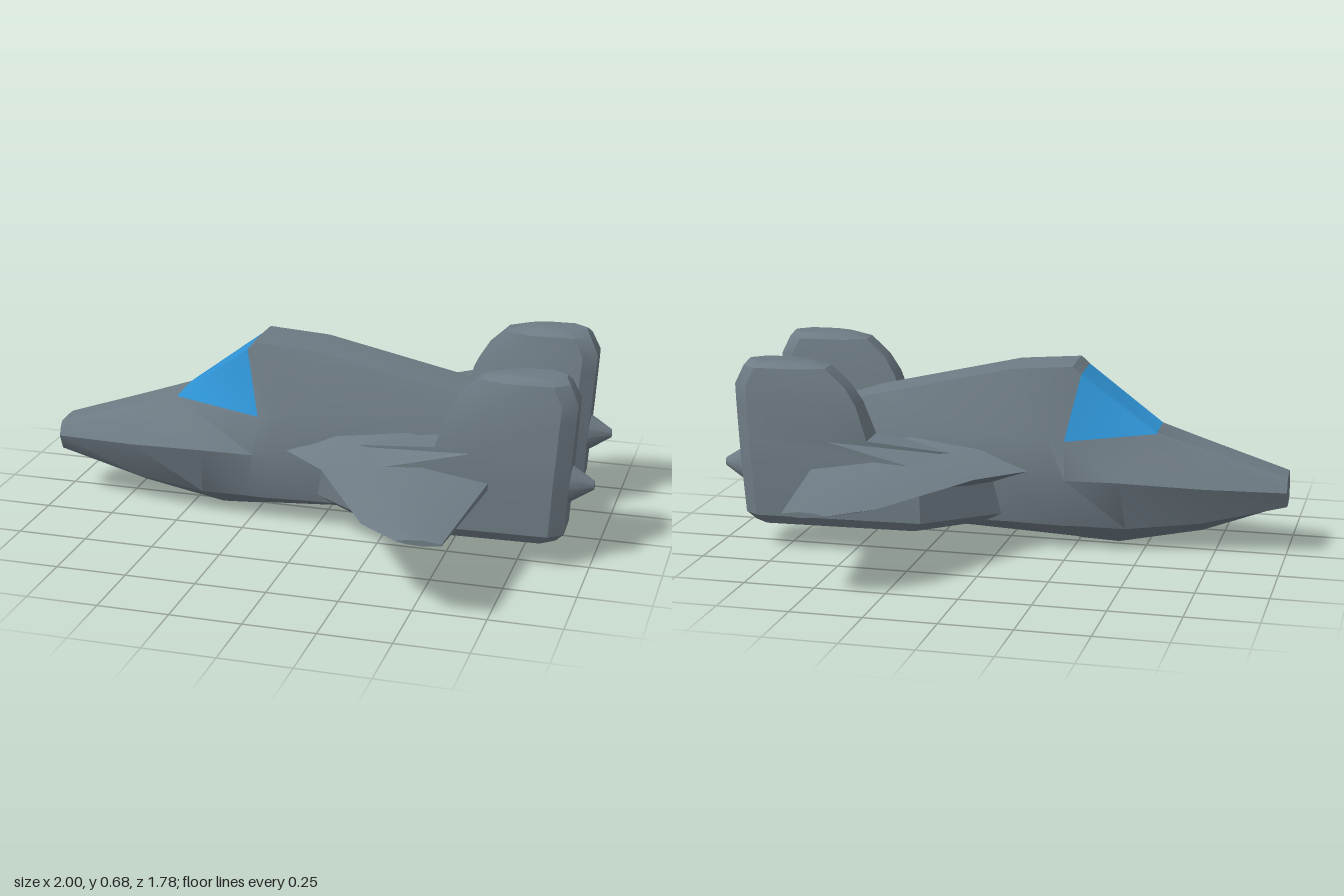
import * as THREE from 'three';
import { toCreasedNormals } from 'three/addons/utils/BufferGeometryUtils.js';

const hullGrey = new THREE.MeshStandardMaterial({ color: 0x6e7b84 });
hullGrey.name = 'hull grey';
const glassBlue = new THREE.MeshStandardMaterial({ color: 0x2f94d6 });
glassBlue.name = 'canopy blue';

// Skin a row of closed loops of [x, y, z] points and cap both ends.
// Cells chosen by isGlass(row, column) go into a second material group.
function loft(loops, crease, isGlass = () => false) {
  const hull = [], glass = [];
  const n = loops[0].length;
  for (let i = 0; i < loops.length - 1; i++) {
    for (let j = 0; j < n; j++) {
      const k = (j + 1) % n;
      const a = loops[i][j], b = loops[i][k], c = loops[i + 1][k], d = loops[i + 1][j];
      (isGlass(i, j) ? glass : hull).push([a, b, c], [a, c, d]);
    }
  }
  const centre = (loop) => [0, 1, 2].map((c) => loop.reduce((s, p) => s + p[c], 0) / n);
  const first = loops[0], last = loops[loops.length - 1];
  const c0 = centre(first), c1 = centre(last);
  for (let j = 0; j < n; j++) {
    const k = (j + 1) % n;
    hull.push([c0, first[k], first[j]], [c1, last[j], last[k]]);
  }
  // Turn every face outward
  const tris = [...hull, ...glass];
  const volume = tris.reduce((s, [a, b, c]) => s
    + a[0] * (b[1] * c[2] - b[2] * c[1])
    + a[1] * (b[2] * c[0] - b[0] * c[2])
    + a[2] * (b[0] * c[1] - b[1] * c[0]), 0);
  if (volume < 0) tris.forEach((t) => t.reverse());

  const geometry = new THREE.BufferGeometry();
  geometry.setAttribute('position', new THREE.Float32BufferAttribute(tris.flat(2), 3));
  const smooth = toCreasedNormals(geometry, crease);
  smooth.clearGroups();
  smooth.addGroup(0, hull.length * 3, 0);
  if (glass.length) smooth.addGroup(hull.length * 3, glass.length * 3, 1);
  return smooth;
}

function makeMesh(name, geometry) {
  const mesh = new THREE.Mesh(geometry, [hullGrey, glassBlue]);
  mesh.name = name;
  return mesh;
}

// Half sections from roof centre to keel: [z, y, optional x shift]
function makeFuselage() {
  const stations = [
    [-1.0, [[0, 0.285], [0.055, 0.283], [0.07, 0.27], [0.087, 0.235], [0.06, 0.178], [0, 0.17]]],
    [-0.7, [[0, 0.38], [0.07, 0.378], [0.09, 0.355], [0.15, 0.25], [0.095, 0.11], [0, 0.06]]],
    [-0.54, [[0, 0.43], [0.08, 0.43], [0.084, 0.426], [0.198, 0.27, 0.12], [0.13, 0.085, 0.1], [0, 0, 0.14]]],
    [-0.27, [[0, 0.633], [0.1, 0.63], [0.157, 0.4, 0.05], [0.202, 0.27, 0.04], [0.145, 0.09], [0, 0.006]]],
    [-0.24, [[0, 0.66], [0.1, 0.658], [0.17, 0.42, 0.08], [0.204, 0.27, 0.06], [0.15, 0.09, 0.03], [0, 0.01]]],
    [-0.02, [[0, 0.645], [0.1, 0.642], [0.185, 0.42], [0.206, 0.27], [0.165, 0.1], [0, 0.022]]],
    [0.5, [[0, 0.53], [0.1, 0.525], [0.16, 0.4], [0.18, 0.25], [0.16, 0.1], [0, 0.053]]],
    [0.7, [[0, 0.47], [0.08, 0.465], [0.12, 0.37], [0.13, 0.24], [0.12, 0.1], [0, 0.065]]],
    [0.8, [[0, 0.4], [0.035, 0.395], [0.045, 0.33], [0.05, 0.22], [0.04, 0.1], [0, 0.07]]],
  ];
  const loops = stations.map(([x, half]) => {
    const side = half.map(([z, y, dx = 0]) => [x + dx, y, z]);
    const other = side.slice(1, -1).reverse().map(([px, y, z]) => [px, y, -z]);
    return [...side, ...other];
  });
  // Windscreen and its two side panes
  return loft(loops, 0.65, (i, j) => i === 2 && [0, 1, 8, 9].includes(j));
}

// Wing sections from root to tip: [z, leading x, trailing x, thickness]
function makeWing(side) {
  const sections = [
    [0.15, -0.16, 0.64, 0.2],
    [0.22, -0.08, 0.64, 0.17],
    [0.35, 0.06, 0.645, 0.1],
    [0.78, 0.3, 0.597, 0.045],
    [0.89, 0.435, 0.585, 0.02],
  ];
  return loft(sections.map(([z, x0, x1, t]) => {
    const at = (f, h) => [x0 + (x1 - x0) * f, 0.298 + h * t, z * side];
    return [at(0, 0), at(0.25, 0.36), at(0.6, 0.5), at(1, 0.12),
      at(1, -0.12), at(0.6, -0.5), at(0.25, -0.36)];
  }), 0.9);
}

// Engine pod and fin, level by level: [y, front x, rear x, inner z, outer z, front inner z, front outer z]
function makePod(side) {
  const levels = [
    [0.095, 0.05, 0.87, 0.185, 0.335, 0.12, 0.15],
    [0.13, 0.0, 0.9, 0.15, 0.36, 0.13, 0.17],
    [0.33, 0.0, 0.912, 0.15, 0.37, 0.15, 0.19],
    [0.41, 0.45, 0.918, 0.165, 0.366, 0.2, 0.33],
    [0.53, 0.49, 0.926, 0.18, 0.36, 0.22, 0.32],
    [0.595, 0.53, 0.93, 0.188, 0.355, 0.23, 0.315],
    [0.66, 0.6, 0.9, 0.2, 0.345, 0.235, 0.315],
    [0.68, 0.68, 0.885, 0.22, 0.325, 0.245, 0.305],
  ];
  return loft(levels.map(([y, xf, xr, zi, zo, fi, fo]) => {
    const shoulder = xf + (xr - xf) * 0.28;
    return [[xf, fi], [xf, fo], [shoulder, zo], [xr - 0.05, zo],
      [xr, zo - 0.04], [xr, zi + 0.04], [xr - 0.05, zi], [shoulder, zi]]
      .map(([x, z]) => [x, y, z * side]);
  }), 0.5);
}

export function createModel() {
  const model = new THREE.Group();
  model.name = 'spaceFighter';
  model.add(makeMesh('fuselage', makeFuselage()));

  for (const side of [1, -1]) {
    const label = side > 0 ? 'Left' : 'Right';
    model.add(makeMesh('wing' + label, makeWing(side)));
    model.add(makeMesh('enginePod' + label, makePod(side)));

    // Tapered exhaust plug
    const cone = new THREE.Mesh(new THREE.CylinderGeometry(0.015, 0.075, 0.095, 12), hullGrey);
    cone.name = 'exhaustCone' + label;
    cone.rotation.z = -Math.PI / 2;
    cone.position.set(0.942, 0.295, 0.26 * side);
    model.add(cone);
  }

  // The craft sits with a slight yaw
  model.rotation.y = 0.04;
  model.position.set(0.003, 0, 0.01);
  const root = new THREE.Group();
  root.add(model);
  return root;
}
